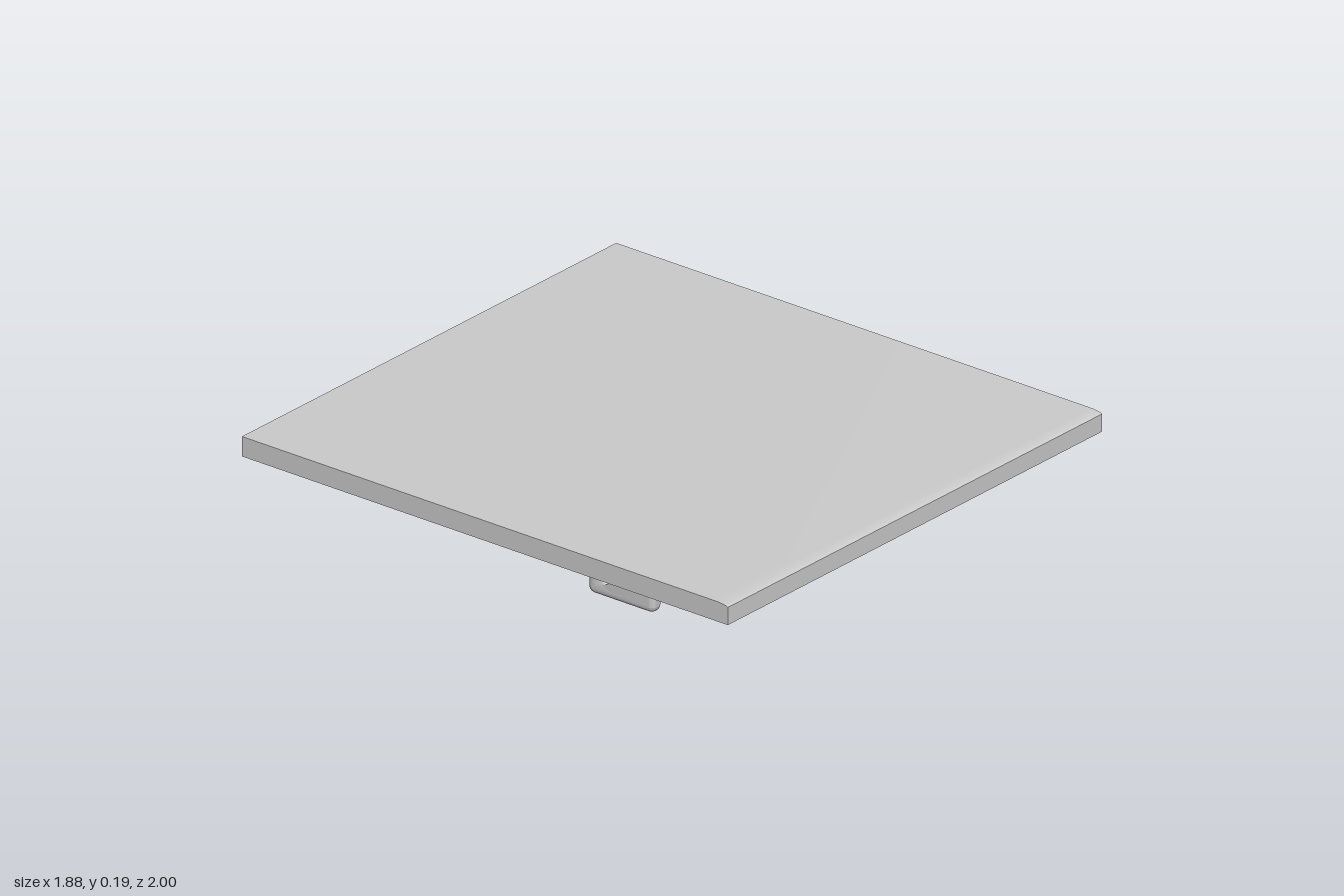
import * as THREE from 'three';
import { mergeVertices, toCreasedNormals } from 'three/addons/utils/BufferGeometryUtils.js';

const material = new THREE.MeshStandardMaterial({ color: 0xcccccc });

// Extrudes a side profile (z, y) along x, centred on x = 0.
function extrudeAcross(shape, depth, crease, options = {}) {
  const geometry = new THREE.ExtrudeGeometry(shape, { depth, bevelEnabled: false, ...options });
  geometry.translate(0, 0, -depth / 2).rotateY(-Math.PI / 2);
  geometry.deleteAttribute('normal');
  geometry.deleteAttribute('uv');
  return toCreasedNormals(mergeVertices(geometry, 1e-5), crease);
}

function addPart(group, name, geometry, x = 0, y = 0, z = 0) {
  const mesh = new THREE.Mesh(geometry, material);
  mesh.name = name;
  mesh.position.set(x, y, z);
  group.add(mesh);
}

export function createModel() {
  const group = new THREE.Group();
  group.name = 'panelWithLoop';

  // Flat slab with a softly eased upper front edge
  const slab = new THREE.Shape();
  slab.moveTo(-1, 0.12);
  slab.lineTo(1, 0.12);
  slab.lineTo(1, 0.182);
  slab.quadraticCurveTo(0.99, 0.19, 0.94, 0.19);
  slab.lineTo(-1, 0.19);
  slab.closePath();
  addPart(group, 'slab', extrudeAcross(slab, 1.88, 0.6, { curveSegments: 8 }));

  // Rounded loop under the right edge, its top sunk into the slab
  const half = 0.137, r = 0.028, top = 0.15;
  const loop = new THREE.Shape();
  loop.moveTo(-half, top);
  loop.lineTo(-half, r);
  loop.quadraticCurveTo(-half, 0, -half + r, 0);
  loop.lineTo(half - r, 0);
  loop.quadraticCurveTo(half, 0, half, r);
  loop.lineTo(half, top);
  loop.closePath();
  const hole = new THREE.Path();
  hole.absellipse(0, 0.081, 0.08, 0.037, 0, Math.PI * 2, true);
  loop.holes.push(hole);
  const bevel = 0.02;
  addPart(group, 'loop', extrudeAcross(loop, 0.008, 0.9, {
    curveSegments: 16, bevelEnabled: true, bevelThickness: bevel,
    bevelSize: bevel, bevelOffset: -bevel, bevelSegments: 6,
  }), -0.81, 0, 0.47);

  // Thin foot where the loop meets the slab
  addPart(group, 'loopFoot', new THREE.BoxGeometry(0.044, 0.008, 0.34), -0.81, 0.119, 0.453);

  return group;
}
